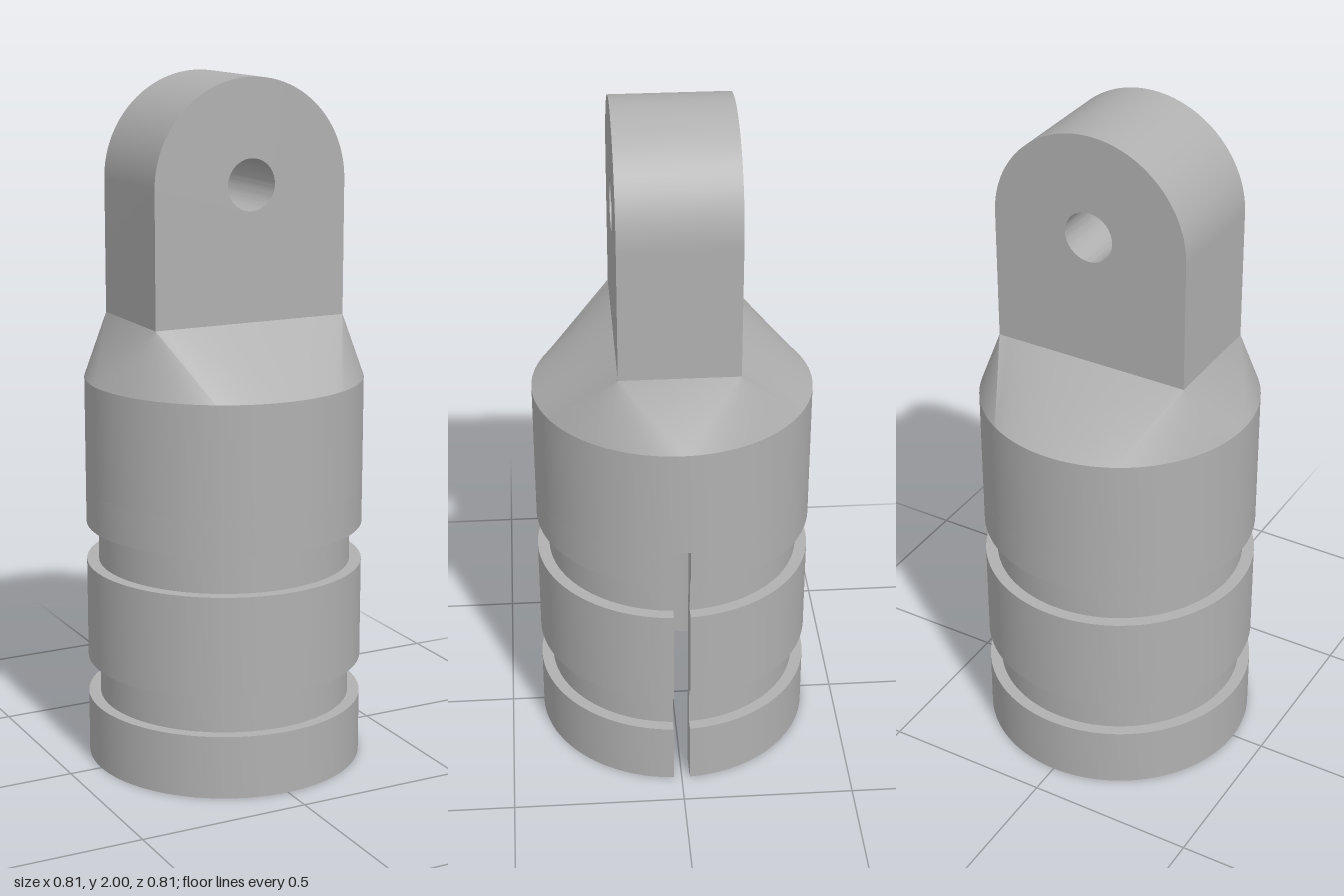
import * as THREE from 'three';
import { toCreasedNormals } from 'three/addons/utils/BufferGeometryUtils.js';

const R = 0.403, GROOVE = 0.368, BORE = 0.315; // radii
const SLOT = 0.024, SLOT_TOP = 0.82, BORE_TOP = 0.9;
const SHOULDER = 1.14, LUG_BASE = 1.32, LUG_W = 0.295, LUG_D = 0.168, EYE = 1.705;

const V = (x, y) => new THREE.Vector2(x, y);

export function createModel() {
  const group = new THREE.Group();
  const grey = new THREE.MeshStandardMaterial({ color: 0xb0b0b0, side: THREE.DoubleSide });
  grey.name = 'plain grey';
  const add = (name, geometry, crease = 0.5) => {
    const mesh = new THREE.Mesh(crease ? toCreasedNormals(geometry, crease) : geometry, grey);
    mesh.name = name;
    group.add(mesh);
    return mesh;
  };

  // Grooved socket wall, open along a narrow slot on the +x side
  const profile = [
    V(BORE, SLOT_TOP), V(BORE, 0), V(R, 0),
    V(R, 0.185), V(GROOVE, 0.185), V(GROOVE, 0.3), V(R, 0.3),
    V(R, 0.595), V(GROOVE, 0.595), V(GROOVE, 0.71), V(R, 0.71), V(R, SLOT_TOP),
  ];
  const gap = Math.asin(SLOT / R);
  const socket = new THREE.LatheGeometry(profile, 96, Math.PI / 2 + gap, 2 * Math.PI - 2 * gap);
  const chord = (r) => Math.sqrt(r * r - SLOT * SLOT);
  const pos = socket.attributes.position;
  for (let i = 0; i < pos.count; i++) {
    // make the slot's two edges parallel
    const x = pos.getX(i), z = pos.getZ(i);
    if (x > 0 && Math.abs(z) < 0.027) {
      pos.setX(i, chord(Math.hypot(x, z)));
      pos.setZ(i, Math.sign(z) * SLOT);
    }
  }
  add('groovedSocket', socket);

  // Slot side walls and ceiling
  const section = new THREE.Shape(profile.map((p) => V(chord(p.x), p.y)));
  for (const side of [-1, 1]) {
    const wall = add('slotWall', new THREE.ShapeGeometry(section), 0);
    wall.position.z = side * SLOT;
    if (side > 0) wall.geometry.attributes.normal.array.forEach((n, i, a) => { a[i] = -n; });
    if (side > 0) {
      const index = wall.geometry.index.array;
      for (let i = 0; i < index.length; i += 3) [index[i], index[i + 1]] = [index[i + 1], index[i]];
    }
  }
  const ceiling = add('slotCeiling', new THREE.PlaneGeometry(R - BORE, 2 * SLOT).rotateX(Math.PI / 2), 0);
  ceiling.position.set((R + BORE) / 2, SLOT_TOP, 0);

  // Upper body and the closed end of the bore
  add('upperBody', new THREE.LatheGeometry([V(R, SLOT_TOP), V(R, SHOULDER)], 96));
  add('boreEnd', new THREE.LatheGeometry([V(0, BORE_TOP), V(BORE, BORE_TOP), V(BORE, SLOT_TOP)], 96));

  // Shoulder: round body blending into the rectangular lug
  const columns = [];
  for (const half of [0, 1]) {
    const sign = half ? -1 : 1;
    for (let i = 0; i <= 60; i++) {
      const a = Math.PI * (half + i / 60);
      const u = THREE.MathUtils.clamp((i - 20) / 20, 0, 1);
      columns.push({
        low: new THREE.Vector3(R * Math.cos(a), SHOULDER, R * Math.sin(a)),
        high: new THREE.Vector3(sign * LUG_W * (1 - 2 * u), LUG_BASE, sign * LUG_D),
      });
    }
  }
  const points = [];
  columns.forEach((c, i) => {
    const n = columns[(i + 1) % columns.length];
    if (c.low.distanceTo(n.low) > 1e-4) points.push(c.low, c.high, n.low);
    if (c.high.distanceTo(n.high) > 1e-4) points.push(c.high, n.high, n.low);
  });
  const shoulder = new THREE.BufferGeometry().setFromPoints(points);
  shoulder.computeVertexNormals();
  add('shoulder', shoulder);

  // Rounded lug with a cross hole
  const outline = new THREE.Shape();
  outline.moveTo(-LUG_W, LUG_BASE);
  outline.lineTo(LUG_W, LUG_BASE);
  outline.lineTo(LUG_W, EYE);
  outline.absarc(0, EYE, LUG_W, 0, Math.PI, false);
  outline.closePath();
  const hole = new THREE.Path();
  hole.absarc(0, EYE, 0.073, 0, 2 * Math.PI, true);
  outline.holes.push(hole);
  const lug = new THREE.ExtrudeGeometry(outline, { depth: 2 * LUG_D, bevelEnabled: false, curveSegments: 40 });
  add('lug', lug.translate(0, 0, -LUG_D));

  return group;
}
